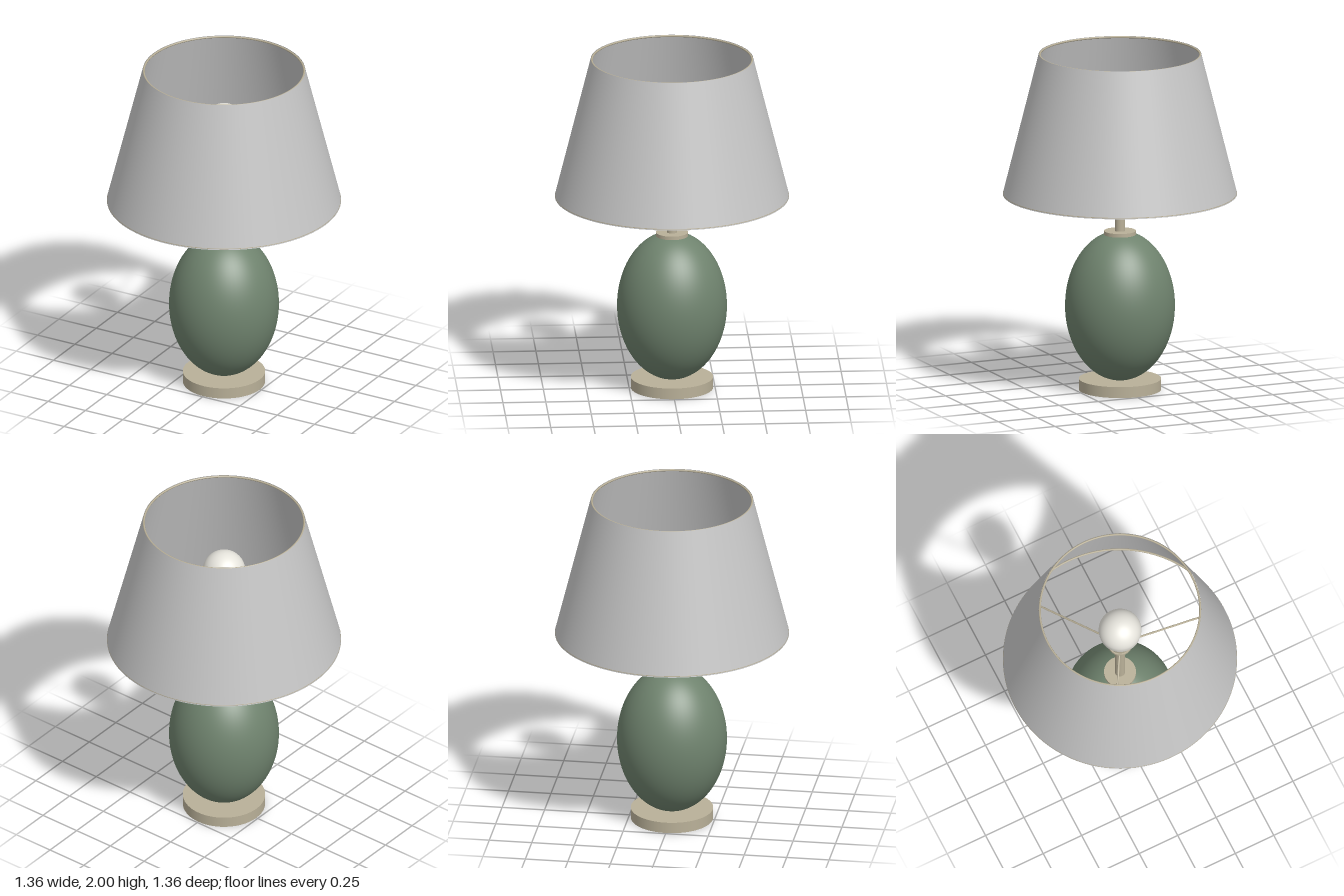
import * as THREE from 'three';

const material = (name, color, side = THREE.FrontSide) => {
  const m = new THREE.MeshStandardMaterial({ color, side });
  m.name = name;
  return m;
};

export function createModel() {
  const lamp = new THREE.Group();
  lamp.name = 'tableLamp';

  const brass = material('pale brass', 0xb9b098);
  const green = material('green ceramic', 0x6f836e);
  const fabric = material('grey shade fabric', 0xc6c6c6, THREE.DoubleSide);
  const glass = material('white bulb glass', 0xeeece4);

  const add = (name, geometry, mat, y = 0) => {
    const mesh = new THREE.Mesh(geometry, mat);
    mesh.name = name;
    mesh.position.y = y;
    lamp.add(mesh);
    return mesh;
  };
  // Upright disc or rod between two heights
  const disc = (name, r, y0, y1) =>
    add(name, new THREE.CylinderGeometry(r, r, y1 - y0, 64), brass, (y0 + y1) / 2);

  // Foot, egg-shaped body, collar and stem
  disc('base', 0.24, 0, 0.065);
  add('body', new THREE.SphereGeometry(0.32, 64, 48), green, 0.5).scale.y = 0.443 / 0.32;
  disc('collar', 0.093, 0.917, 0.945);
  disc('stem', 0.03, 0.94, 1.43);

  // Bulb holder with the hub that carries the spokes
  disc('spokeHub', 0.07, 1.408, 1.425);
  disc('socket', 0.062, 1.42, 1.51);

  // Bulb: flared neck running into a round dome
  const bulb = [[0.05, 1.5], [0.062, 1.515], [0.1, 1.56], [0.119, 1.605]]
    .map(([r, y]) => new THREE.Vector2(r, y));
  for (let i = 0; i <= 16; i++) {
    const a = (i / 16) * Math.PI / 2;
    bulb.push(new THREE.Vector2(0.125 * Math.cos(a), 1.652 + 0.125 * Math.sin(a)));
  }
  add('bulb', new THREE.LatheGeometry(bulb, 48), glass);

  // Open conical shade
  const y0 = 1.165, y1 = 2;
  add('shade', new THREE.CylinderGeometry(0.473, 0.682, y1 - y0, 96, 1, true), fabric, (y0 + y1) / 2);

  // Wire rings just inside both rims
  for (const [name, r, y] of [['topRing', 0.467, 1.994], ['bottomRing', 0.675, 1.171]]) {
    add(name, new THREE.TorusGeometry(r, 0.006, 8, 96), brass, y).rotation.x = Math.PI / 2;
  }

  // Three sloping spokes from the hub down to the bottom ring
  for (let i = 0; i < 3; i++) {
    const a = (i * Math.PI * 2) / 3;
    const at = (r, y) => new THREE.Vector3(r * Math.cos(a), y, r * Math.sin(a));
    const path = new THREE.LineCurve3(at(0.03, 1.416), at(0.675, 1.171));
    add('spoke', new THREE.TubeGeometry(path, 1, 0.006, 8), brass);
  }

  return lamp;
}
